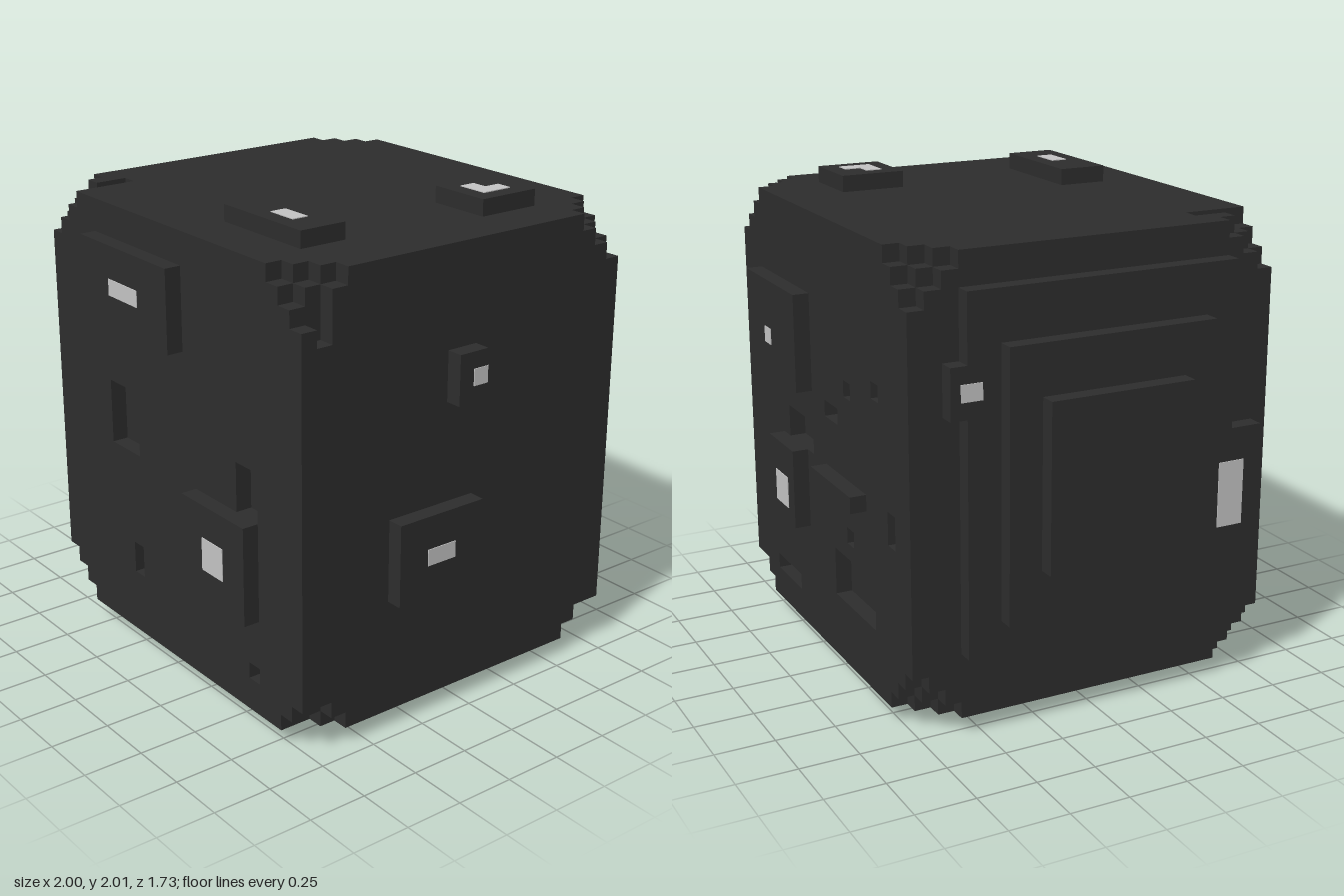
import * as THREE from 'three';

// Everything is laid out on a block grid: 29 x 29 x 25 cells.
const S = 2 / 29;
const toWorld = (x, y, z) => [x * S - 1, y * S, (z - 12.5) * S];

// Main block in grid cells: [x0, x1, y0, y1, z0, z1]
const BODY = [3, 28, 1, 28, 1, 24];

// Stepped corners: which end of each axis (0 low, 1 high) and the cut length along it
const CORNERS = [
  [0, 0, 0, 3, 3, 3], [1, 0, 0, 3, 2, 3], [0, 1, 0, 3, 3, 3], [1, 1, 0, 3, 3, 3],
  [0, 0, 1, 3, 3, 3], [1, 0, 1, 2, 2, 3], [0, 1, 1, 3, 3, 3], [1, 1, 1, 3, 3, 3],
];

// Recesses cut into the faces
const RECESSES = [
  // front
  [9, 12, 13, 17, 23, 24], [22, 24, 13, 16, 23, 24],
  [11, 12, 5, 7, 23, 24], [23, 24, 3, 4, 23, 24],
  // back
  [17, 21, 13, 15, 1, 2], [13, 15, 16, 17, 1, 2], [11, 12, 18, 19, 1, 2],
  [7, 8, 19, 20, 1, 2], [11, 12, 9, 10, 1, 2], [5, 6, 11, 13, 1, 2],
  [8, 14, 5, 8, 1, 2], [11, 12, 7, 8, 2, 3], [20, 24, 3, 4, 1, 2],
  // bottom, top and side
  [23, 26, 1, 2, 14, 18], [5, 6, 27, 28, 20, 24], [27, 28, 24, 26, 22, 23],
];

const PLATES = {
  frontUpperPlate: [8, 17, 21, 26, 24, 25],
  frontLowerPlate: [18, 24, 7, 13, 24, 25],
  backUpperPlate: [17, 25, 17, 23, 0, 1],
  backLowerPlate: [18, 22, 8, 13, 0, 1],
  backBar: [9, 15, 12, 13, 0, 1],
  topBackPlate: [21, 25, 28, 29, 5, 9],
  topFrontPlate: [17, 24, 28, 29, 18, 21],
  bottomPlate: [11, 17, 0, 1, 8, 18],
  leftUpperPlate: [28, 29, 19, 22, 12, 14],
  leftLowerPlate: [28, 29, 8, 13, 12, 18],
  rightPanelBase: [2, 3, 5, 26, 4, 21],
  rightPanelMiddle: [1, 2, 7, 23, 6, 19],
  rightPanelTop: [0, 1, 10, 20, 8, 17],
  rightBackTab: [2, 3, 19, 22, 3, 5],
  rightFrontTab: [2, 3, 8, 16, 20, 23],
};

// Thin lit inlays sitting just proud of the plates
const E = 0.05;
const LIGHTS = {
  frontUpperLight: [11, 14, 23, 24, 25 - E, 25 + E],
  frontLowerLight: [20, 22, 9, 11, 25 - E, 25 + E],
  backUpperLight: [21, 22, 19, 20, -E, E],
  backLowerLight: [19, 21, 9, 11, -E, E],
  topBackLightBar: [22, 24, 29 - E, 29 + E, 7, 8],
  topBackLightEnd: [23, 24, 29 - E, 29 + E, 6, 7],
  topFrontLight: [20, 22, 29 - E, 29 + E, 19, 20],
  bottomLight: [13, 15, -E, E, 11, 16],
  leftUpperLight: [29 - E, 29 + E, 20, 21, 12, 13],
  leftUpperLightSide: [28, 29, 20, 21, 12 - E, 12 + E],
  leftLowerLight: [29 - E, 29 + E, 10, 11, 14, 16],
  rightBackLight: [2 - E, 2 + E, 20, 21, 3.6, 4.9],
  rightFrontLight: [2 - E, 2 + E, 10, 14, 20.2, 21.9],
};

const inside = (p, b) => p.every((c, a) => c >= b[2 * a] && c < b[2 * a + 1]);

// True where the main block is solid
function solid(p) {
  if (!inside(p, BODY)) return false;
  if (RECESSES.some((b) => inside(p, b))) return false;
  return !CORNERS.some((corner) => {
    let sum = 0;
    for (let a = 0; a < 3; a++) {
      const steps = corner[a] ? BODY[2 * a + 1] - 1 - p[a] : p[a] - BODY[2 * a];
      sum += steps / corner[3 + a];
    }
    return sum < 0.999;
  });
}

// Skin of the main block: one quad for every exposed cell side
function bodyGeometry() {
  const positions = [];
  const normals = [];
  const index = [];
  const addQuad = (p, axis, sign) => {
    const u = (axis + 1) % 3;
    const v = (axis + 2) % 3;
    const start = positions.length / 3;
    for (const [du, dv] of [[0, 0], [1, 0], [1, 1], [0, 1]]) {
      const c = [...p];
      c[u] += du;
      c[v] += dv;
      if (sign > 0) c[axis] += 1;
      positions.push(...toWorld(...c));
      const n = [0, 0, 0];
      n[axis] = sign;
      normals.push(...n);
    }
    const order = sign > 0 ? [0, 1, 2, 0, 2, 3] : [0, 2, 1, 0, 3, 2];
    index.push(...order.map((i) => i + start));
  };
  for (let x = BODY[0]; x < BODY[1]; x++)
    for (let y = BODY[2]; y < BODY[3]; y++)
      for (let z = BODY[4]; z < BODY[5]; z++) {
        const p = [x, y, z];
        if (!solid(p)) continue;
        for (let axis = 0; axis < 3; axis++)
          for (const sign of [-1, 1]) {
            const next = [...p];
            next[axis] += sign;
            if (!solid(next)) addQuad(p, axis, sign);
          }
      }
  const g = new THREE.BufferGeometry();
  g.setAttribute('position', new THREE.Float32BufferAttribute(positions, 3));
  g.setAttribute('normal', new THREE.Float32BufferAttribute(normals, 3));
  g.setIndex(index);
  return g;
}

// Box given by its grid bounds
function gridBox(name, [x0, x1, y0, y1, z0, z1], material) {
  const g = new THREE.BoxGeometry((x1 - x0) * S, (y1 - y0) * S, (z1 - z0) * S);
  const mesh = new THREE.Mesh(g, material);
  mesh.position.set(...toWorld((x0 + x1) / 2, (y0 + y1) / 2, (z0 + z1) / 2));
  mesh.name = name;
  return mesh;
}

export function createModel() {
  const charcoal = new THREE.MeshStandardMaterial({ color: 0x2d2d2d });
  charcoal.name = 'charcoal';
  const paleGrey = new THREE.MeshStandardMaterial({ color: 0xc4c4c4 });
  paleGrey.name = 'pale grey';

  const model = new THREE.Group();
  model.name = 'blockCube';

  const body = new THREE.Mesh(bodyGeometry(), charcoal);
  body.name = 'body';
  model.add(body);

  for (const [name, box] of Object.entries(PLATES)) model.add(gridBox(name, box, charcoal));
  for (const [name, box] of Object.entries(LIGHTS)) model.add(gridBox(name, box, paleGrey));
  return model;
}
